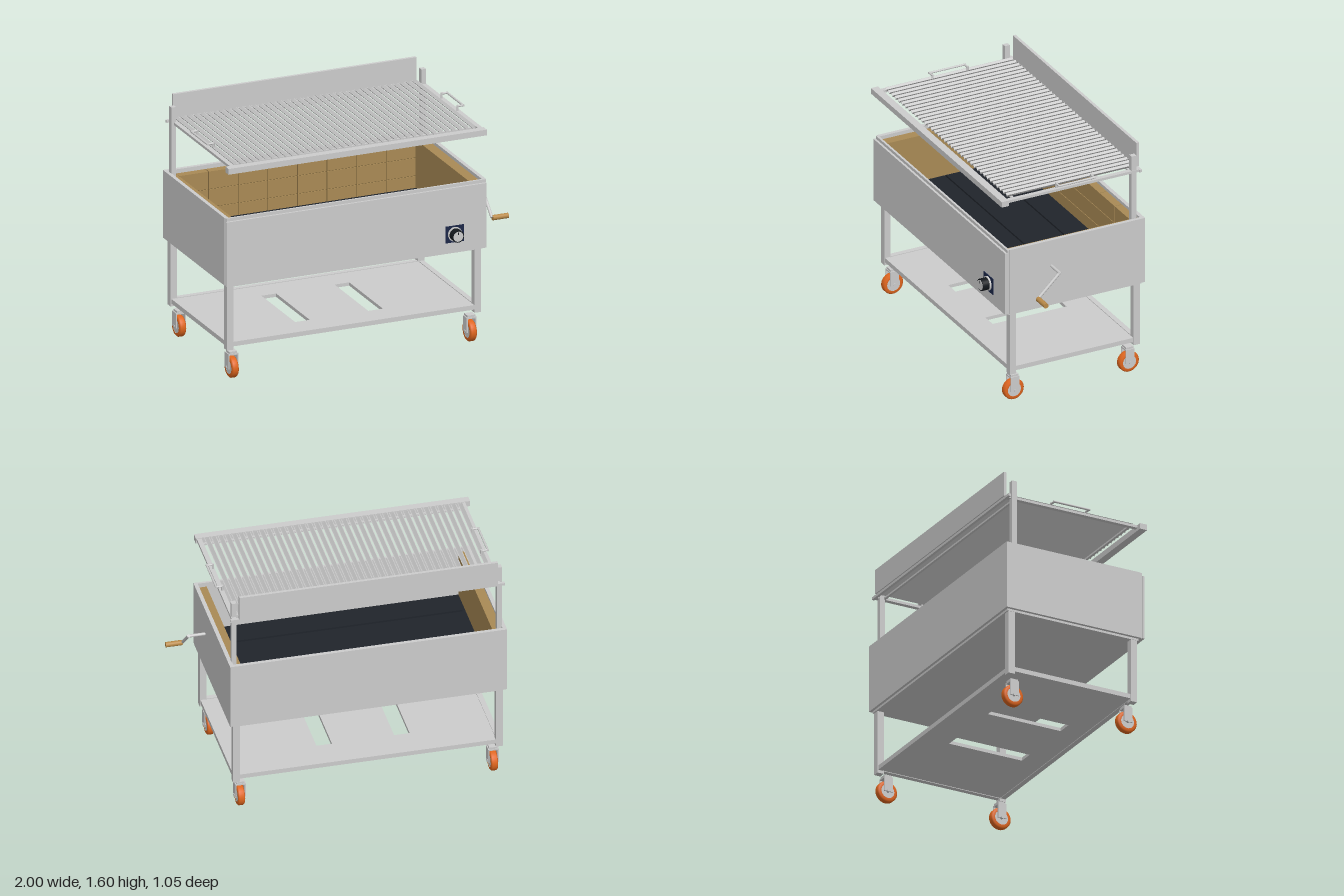
import * as THREE from 'three';

const mat = (color) => new THREE.MeshStandardMaterial({ color });
const grey = mat(0xcccccc);
const brick = mat(0xa98a55), grout = mat(0x6f5932), dark = mat(0x20242b), navy = mat(0x1c2748);
const orange = mat(0xe0661e), wood = mat(0xb98a48), black = mat(0x14181d);

export function createModel() {
  const root = new THREE.Group();

  const add = (name, geo, material = grey, parent = root) => {
    const m = new THREE.Mesh(geo, material);
    m.name = name;
    parent.add(m);
    return m;
  };
  // Box given by its limits along x, y and z
  const box = (name, x0, x1, y0, y1, z0, z1, material, parent) => {
    const m = add(name, new THREE.BoxGeometry(x1 - x0, y1 - y0, z1 - z0), material, parent);
    m.position.set((x0 + x1) / 2, (y0 + y1) / 2, (z0 + z1) / 2);
    return m;
  };
  // Cylinder between two points
  const rod = (name, a, b, r, material, parent, sides = 16) => {
    const p = new THREE.Vector3(...a), q = new THREE.Vector3(...b), d = q.clone().sub(p);
    const m = add(name, new THREE.CylinderGeometry(r, r, d.length(), sides), material, parent);
    m.position.copy(p).add(q).multiplyScalar(0.5);
    m.quaternion.setFromUnitVectors(new THREE.Vector3(0, 1, 0), d.normalize());
    return m;
  };

  // Fire box: thin sheet walls, folded rim and bottom
  const body = new THREE.Group();
  body.name = 'fireBox';
  root.add(body);
  box('frontWall', -0.995, 0.78, 0.64, 1.09, 0.43, 0.445, grey, body);
  box('frontPanel', -1, 0.778, 0.64, 1.07, 0.445, 0.46, grey, body);
  box('backWall', -1, 0.782, 0.64, 1.075, -0.525, -0.51, grey, body);
  box('sideWall', -1, -0.985, 0.64, 1.075, -0.51, 0.43, grey, body);
  box('sideWall', 0.767, 0.782, 0.64, 1.075, -0.51, 0.43, grey, body);
  box('rim', -1, 0.782, 1.075, 1.09, -0.525, -0.5, grey, body);
  box('rim', -1, -0.975, 1.075, 1.09, -0.5, 0.43, grey, body);
  box('rim', 0.757, 0.782, 1.075, 1.09, -0.5, 0.43, grey, body);
  box('bottomPlate', -0.985, 0.767, 0.64, 0.66, -0.51, 0.43, grey, body);
  box('bottomFrame', -0.98, 0.763, 0.625, 0.645, -0.508, 0.428, grey, body);

  // Brick lining on the back and both sides
  const lining = new THREE.Group();
  lining.name = 'brickLining';
  root.add(lining);
  box('sideBricks', -0.985, -0.92, 0.66, 1.06, -0.51, 0.43, brick, lining);
  box('sideBricks', 0.7, 0.767, 0.66, 1.06, -0.51, 0.43, brick, lining);
  box('backMortar', -0.92, 0.7, 0.66, 1.055, -0.51, -0.463, grout, lining);
  for (let i = 0; i < 8; i++) {
    for (let j = 0; j < 3; j++) {
      const x = -0.92 + i * 0.2025, y = 0.7 + j * 0.12;
      box('brick', x + 0.003, x + 0.2, y + 0.003, y + 0.119, -0.51, -0.458, brick, lining);
    }
  }

  // Fire tray with low ridges
  box('fireTray', -0.92, 0.7, 0.72, 0.74, -0.458, 0.43, dark);
  for (const z of [-0.3, -0.02, 0.26]) box('trayRidge', -0.9, 0.68, 0.74, 0.752, z - 0.02, z + 0.02, dark);

  // Legs, lower shelf and its rails
  for (const [x0, x1] of [[-0.978, -0.934], [0.714, 0.758]]) {
    for (const [z0, z1] of [[0.373, 0.417], [-0.5, -0.456]]) box('leg', x0, x1, 0.2, 0.63, z0, z1);
    box('shelfRail', x0 + 0.005, x1 - 0.005, 0.22, 0.25, -0.456, 0.373);
  }
  for (const z of [0.378, -0.495]) box('shelfRail', -0.934, 0.714, 0.22, 0.25, z, z + 0.034);
  const rect = (S, x0, x1, y0, y1) => new S([[x0, y0], [x1, y0], [x1, y1], [x0, y1]].map((p) => new THREE.Vector2(...p)));
  const sheet = rect(THREE.Shape, -0.945, 0.725, -0.385, 0.465);
  for (const x of [-0.38, 0.12]) sheet.holes.push(rect(THREE.Path, x - 0.05, x + 0.05, -0.23, 0.29));
  const shelf = add('shelf', new THREE.ExtrudeGeometry(sheet, { depth: 0.022, bevelEnabled: false }));
  shelf.rotation.x = -Math.PI / 2;
  shelf.position.y = 0.224;

  // Casters
  const tread = new THREE.LatheGeometry(
    [[0.046, -0.022], [0.062, -0.022], [0.07, -0.014], [0.07, 0.014], [0.062, 0.022], [0.046, 0.022]]
      .map((p) => new THREE.Vector2(...p)), 32);
  for (const x of [-0.925, 0.703]) {
    for (const z of [0.367, -0.445]) {
      const caster = new THREE.Group();
      caster.name = 'caster';
      caster.position.set(x, 0.07, z);
      root.add(caster);
      add('tyre', tread, orange, caster).rotation.z = Math.PI / 2;
      rod('hub', [-0.02, 0, 0], [0.02, 0, 0], 0.047, grey, caster, 28);
      rod('axle', [-0.038, 0, 0], [0.038, 0, 0], 0.01, grey, caster);
      for (const s of [-1, 1]) box('forkPlate', s * 0.03 - 0.004, s * 0.03 + 0.004, -0.005, 0.095, -0.03, 0.03, grey, caster);
      box('forkTop', -0.034, 0.034, 0.085, 0.095, -0.03, 0.03, grey, caster);
      box('swivel', -0.027, 0.027, 0.095, 0.108, -0.026, 0.026, grey, caster);
    }
  }

  // Uprights that carry the grill
  for (const x of [-0.963, 0.745]) {
    box('upright', x - 0.016, x + 0.016, 0.66, 1.53, -0.475, -0.44);
  }

  // Grill frame and splash plate
  const grill = new THREE.Group();
  grill.name = 'grill';
  root.add(grill);
  box('dripTrough', -0.995, 0.77, 1.395, 1.433, 0.43, 0.48, grey, grill);
  box('backRail', -0.99, 0.775, 1.413, 1.43, -0.508, -0.49, grey, grill);
  for (const x of [-0.955, 0.742]) box('sideRail', x - 0.008, x + 0.022, 1.413, 1.43, -0.49, 0.43, grey, grill);
  for (const z of [0.38, -0.44]) box('crossBar', -0.96, 0.745, 1.413, 1.425, z - 0.008, z + 0.008, grey, grill);
  box('splashPlate', -0.943, 0.72, 1.43, 1.595, -0.515, -0.495, grey, grill);

  // V-shaped grill bars
  const vee = new THREE.Shape([[-0.017, 0.02], [0, 0], [0.017, 0.02], [0.013, 0.02], [0, 0.005], [-0.013, 0.02]]
    .map((p) => new THREE.Vector2(...p)));
  const veeGeo = new THREE.ExtrudeGeometry(vee, { depth: 0.9, bevelEnabled: false });
  const count = 38;
  for (let i = 0; i < count; i++) {
    add('grillBar', veeGeo, grey, grill).position.set(-0.925 + (i * 1.63) / (count - 1), 1.425, -0.49);
  }

  // Side handles
  for (const [inner, outer] of [[-0.922, -0.963], [0.745, 0.784]]) {
    rod('handleGrip', [outer, 1.46, -0.172], [outer, 1.46, 0.09], 0.007, grey, grill);
    for (const z of [-0.165, 0.083]) {
      rod('handleArm', [inner, 1.46, z], [outer, 1.46, z], 0.007, grey, grill);
      rod('handleFoot', [inner, 1.42, z], [inner, 1.467, z], 0.007, grey, grill);
    }
  }

  // Lifting crank
  rod('crankShaft', [0.76, 0.91, 0.135], [0.898, 0.91, 0.135], 0.01);
  rod('crankArm', [0.89, 0.916, 0.129], [0.89, 0.765, 0.287], 0.01);
  rod('crankGrip', [0.893, 0.763, 0.287], [1, 0.763, 0.287], 0.017, wood, root, 24);

  // Gauge plate and knob
  box('knobPlate', 0.495, 0.62, 0.71, 0.82, 0.46, 0.465, navy);
  rod('knobCollar', [0.557, 0.765, 0.465], [0.557, 0.765, 0.475], 0.047, grey, root, 32);
  rod('knob', [0.557, 0.765, 0.475], [0.557, 0.765, 0.52], 0.04, black, root, 32);
  rod('knobFace', [0.557, 0.765, 0.52], [0.557, 0.765, 0.523], 0.033, grey, root, 32);
  box('knobMark', 0.554, 0.56, 0.777, 0.795, 0.522, 0.525, black);

  return root;
}
